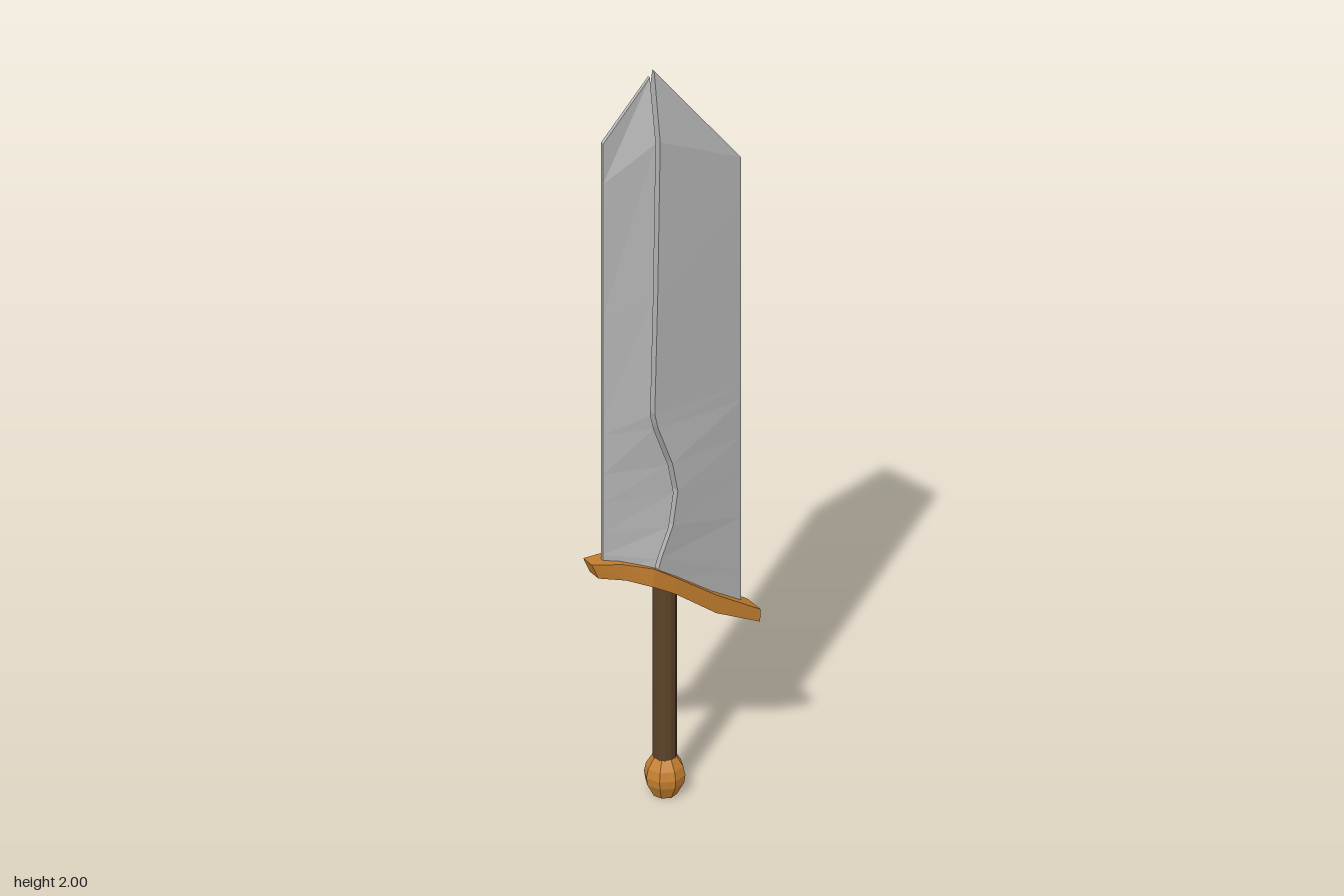
import * as THREE from 'three';

// Closed, faceted solid through rings of points (rings run counter-clockwise about the path)
function loft(name, rings, material) {
  const pos = [];
  const tri = (a, b, c) => pos.push(...a, ...b, ...c);
  const n = rings[0].length;
  for (let i = 0; i < rings.length - 1; i++) {
    for (let j = 0; j < n; j++) {
      const k = (j + 1) % n;
      const a = rings[i][j], b = rings[i][k], c = rings[i + 1][k], d = rings[i + 1][j];
      tri(a, b, c);
      tri(a, c, d);
    }
  }
  const first = rings[0], last = rings[rings.length - 1];
  for (let j = 1; j < n - 1; j++) {
    tri(first[0], first[j + 1], first[j]);
    tri(last[0], last[j], last[j + 1]);
  }
  const geometry = new THREE.BufferGeometry();
  geometry.setAttribute('position', new THREE.Float32BufferAttribute(pos, 3));
  geometry.computeVertexNormals();
  const mesh = new THREE.Mesh(geometry, material);
  mesh.name = name;
  return mesh;
}

export function createModel() {
  const steel = new THREE.MeshStandardMaterial({ name: 'steel', color: 0xb6b6b6 });
  const bronze = new THREE.MeshStandardMaterial({ name: 'bronze', color: 0xc78130 });
  const leather = new THREE.MeshStandardMaterial({ name: 'leather', color: 0x5c4228 });
  const group = new THREE.Group();
  group.name = 'sword';

  // Blade: two wedge halves divided by a narrow winding gap
  // rows: gap y, gap x, half thickness, left edge y, right edge y
  const rows = [
    [0.63, -0.077, 0.047, 0.66, 0.44],
    [0.68, -0.062, 0.047, 0.71, 0.55],
    [0.76, -0.03, 0.047, 0.77, 0.70],
    [0.85, -0.016, 0.046, 0.85, 0.82],
    [0.93, -0.031, 0.046, 0.93, 0.92],
    [1.04, -0.071, 0.045, 1.04, 1.02],
    [1.08, -0.08, 0.045, 1.08, 1.06],
    [1.40, -0.07, 0.042, 1.36, 1.30],
    [1.82, -0.06, 0.037, 1.73, 1.58],
    [2.0, -0.057, 0.004, 1.84, 1.69],
  ];
  const gap = 0.006, edge = 0.005;
  const leftX = -0.195, rightX = 0.192;
  group.add(loft('bladeNarrowHalf', rows.map(([y, x, d, yl], i) => {
    const yi = i === rows.length - 1 ? y - 0.015 : y, xi = x - gap;
    return [[leftX, yl, -edge], [leftX, yl, edge], [xi, yi, d], [xi, yi, -d]];
  }), steel));
  group.add(loft('bladeWideHalf', rows.map(([y, x, d, , yr]) => {
    const xi = x + gap;
    return [[rightX, yr, edge], [rightX, yr, -edge], [xi, y, -d], [xi, y, d]];
  }), steel));

  // Crossguard: sloping bar, thickest near the grip
  // sections: top x, top y, bottom x, bottom y, half depth
  const sections = [
    [-0.235, 0.70, -0.217, 0.658, 0.02],
    [-0.16, 0.688, -0.15, 0.641, 0.037],
    [-0.08, 0.66, -0.085, 0.612, 0.055],
    [-0.015, 0.615, -0.02, 0.573, 0.055],
    [0.10, 0.53, 0.10, 0.48, 0.043],
    [0.232, 0.445, 0.23, 0.412, 0.03],
  ];
  group.add(loft('crossguard', sections.map(([tx, ty, bx, by, w]) =>
    [[tx, ty, -w], [tx, ty, w], [bx, by, w], [bx, by, -w]]), bronze));

  // Grip
  const gripX = -0.019;
  const grip = new THREE.Mesh(
    new THREE.CylinderGeometry(0.029, 0.029, 0.51, 12).toNonIndexed(), leather);
  grip.geometry.computeVertexNormals();
  grip.name = 'grip';
  grip.position.set(gripX, 0.335, 0);
  group.add(grip);

  // Pommel: faceted knob
  const profile = [[0, 0], [0.03, 0], [0.048, 0.034], [0.051, 0.055], [0.046, 0.078], [0.03, 0.104], [0, 0.104]]
    .map(([r, y]) => new THREE.Vector2(r, y));
  const pommel = new THREE.Mesh(new THREE.LatheGeometry(profile, 8).toNonIndexed(), bronze);
  pommel.geometry.computeVertexNormals();
  pommel.name = 'pommel';
  pommel.position.x = gripX;
  group.add(pommel);

  return group;
}
